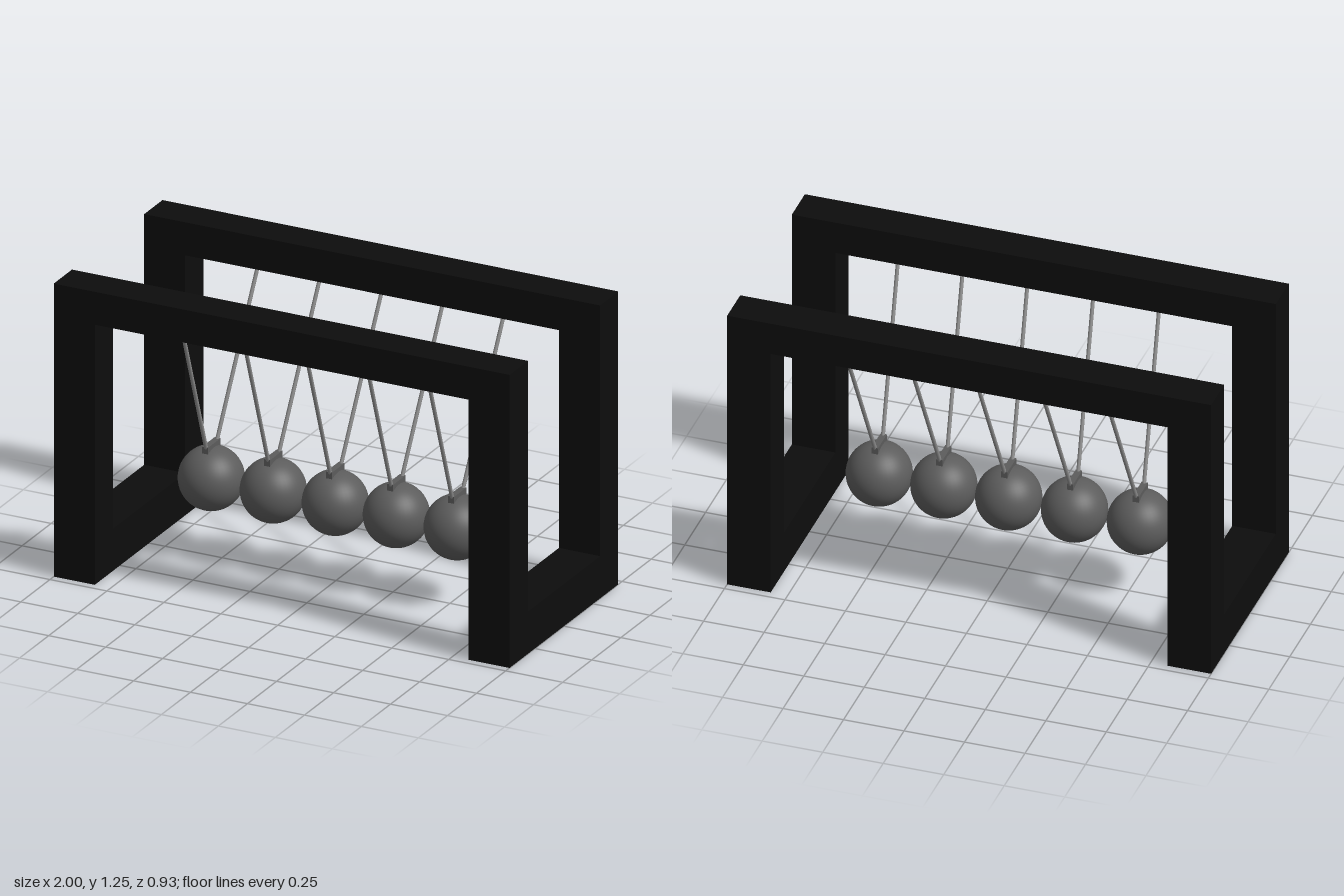
import * as THREE from 'three';

export function createModel() {
  const model = new THREE.Group();
  model.name = 'swingingBallCradle';

  const frameBlack = new THREE.MeshStandardMaterial({ color: 0x0d0d0d });
  frameBlack.name = 'frameBlack';
  const ballGrey = new THREE.MeshStandardMaterial({ color: 0x5c5c5c });
  ballGrey.name = 'ballGrey';
  const stringGrey = new THREE.MeshStandardMaterial({ color: 0x8c8c8c });
  stringGrey.name = 'stringGrey';

  const add = (parent, name, geometry, material, x, y, z) => {
    const mesh = new THREE.Mesh(geometry, material);
    mesh.name = name;
    mesh.position.set(x, y, z);
    parent.add(mesh);
    return mesh;
  };

  // Frame: two upright arches joined by a low foot at each end
  const W = 1, D = 0.467, H = 1.245;
  const postW = 0.18, postD = 0.157, beamH = 0.14, footH = 0.18;
  const frame = new THREE.Group();
  frame.name = 'frame';
  model.add(frame);

  const arch = new THREE.Shape([
    [-W, 0], [-W + postW, 0], [-W + postW, H - beamH], [W - postW, H - beamH],
    [W - postW, 0], [W, 0], [W, H], [-W, H],
  ].map(([x, y]) => new THREE.Vector2(x, y)));
  const archGeo = new THREE.ExtrudeGeometry(arch, { depth: postD, bevelEnabled: false });
  add(frame, 'frontArch', archGeo, frameBlack, 0, 0, D - postD);
  add(frame, 'backArch', archGeo, frameBlack, 0, 0, -D);

  const footGeo = new THREE.BoxGeometry(postW, footH, 2 * (D - postD));
  add(frame, 'leftFoot', footGeo, frameBlack, W - postW / 2, footH / 2, 0);
  add(frame, 'rightFoot', footGeo, frameBlack, -W + postW / 2, footH / 2, 0);

  // Five balls, each with a small cap hung from two slanted strings
  const ballGeo = new THREE.SphereGeometry(0.132, 40, 28);
  const capGeo = new THREE.BoxGeometry(0.026, 0.035, 0.108);
  const up = new THREE.Vector3(0, 1, 0);
  const ballY = 0.332;

  [-0.547, -0.275, -0.003, 0.265, 0.532].forEach((x, i) => {
    const pendulum = new THREE.Group();
    pendulum.name = `pendulum${i + 1}`;
    pendulum.position.x = x;
    model.add(pendulum);
    add(pendulum, 'ball', ballGeo, ballGrey, 0, ballY, 0);
    add(pendulum, 'cap', capGeo, ballGrey, 0, 0.463, 0);

    for (const side of [1, -1]) {
      const bottom = new THREE.Vector3(0.001, 0.472, side * 0.046);
      const top = new THREE.Vector3(0.036, 1.115, side * 0.331);
      const dir = top.clone().sub(bottom);
      const mid = top.clone().add(bottom).multiplyScalar(0.5);
      const string = add(pendulum, side > 0 ? 'frontString' : 'backString',
        new THREE.CylinderGeometry(0.008, 0.008, dir.length(), 12), stringGrey, mid.x, mid.y, mid.z);
      string.quaternion.setFromUnitVectors(up, dir.normalize());
    }
  });

  return model;
}
